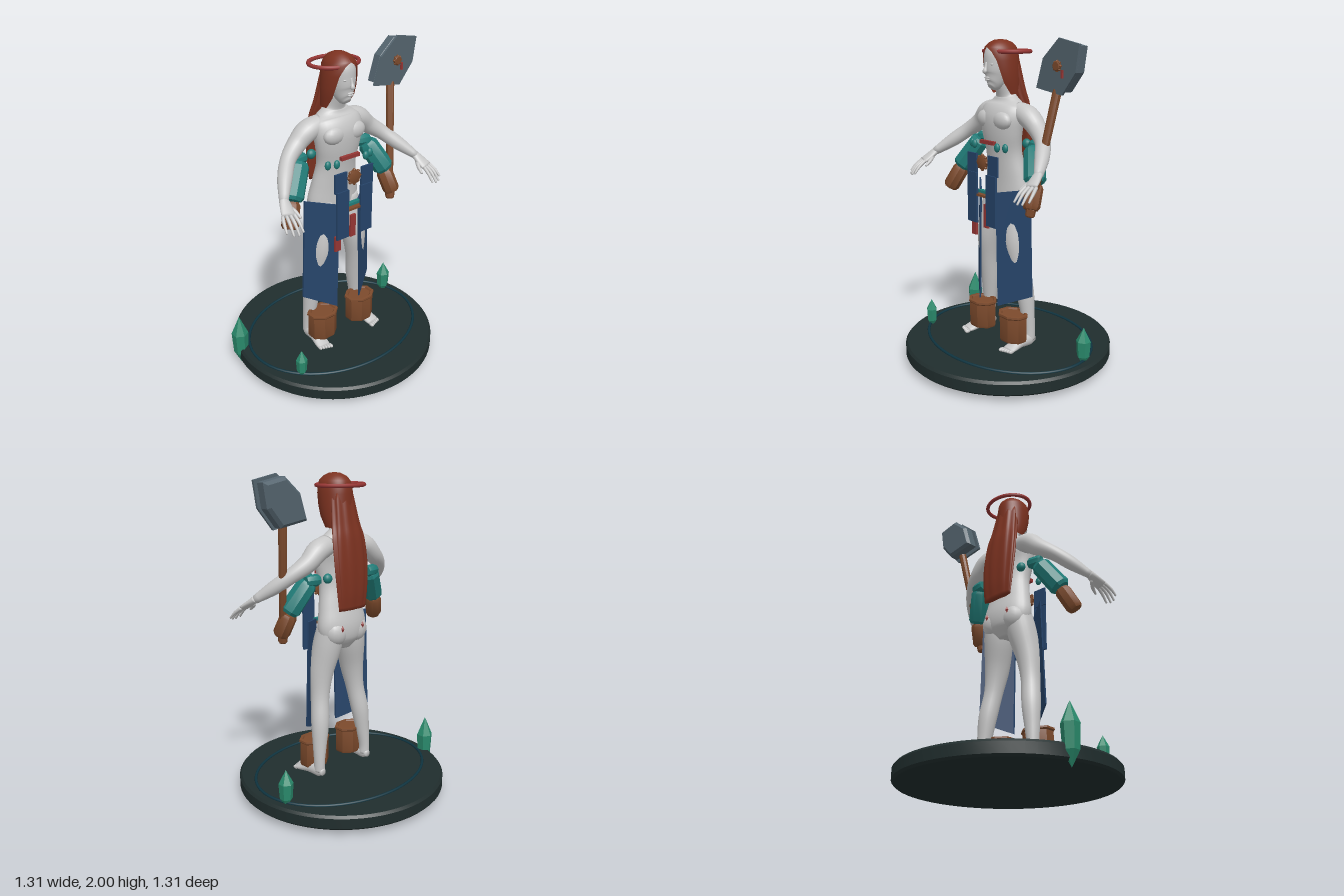
import * as THREE from 'three';
import { toCreasedNormals } from 'three/addons/utils/BufferGeometryUtils.js';

const V = (x, y, z) => new THREE.Vector3(x, y, z);
const mat = (name, color) => {
  const m = new THREE.MeshStandardMaterial({ color });
  m.name = name;
  return m;
};

// Smooth skin through elliptical sections [x, y, z, radiusAlongRef, radiusAcross]
function loft(pts, { ref = V(1, 0, 0), n = 24, steps = 5, ripple = 0 } = {}) {
  const spline = (f) => new THREE.CatmullRomCurve3(pts.map(f), false, 'catmullrom', 0.5);
  const path = spline((p) => V(p[0], p[1], p[2])), rad = spline((p) => V(p[3], p[4], 0));
  const rows = (pts.length - 1) * steps, pos = [], idx = [];
  for (let i = 0; i <= rows; i++) {
    const c = path.getPoint(i / rows), r = rad.getPoint(i / rows), t = path.getTangent(i / rows);
    const u = ref.clone().addScaledVector(t, -ref.dot(t)).normalize();
    const v = t.clone().cross(u);
    for (let j = 0; j < n; j++) {
      const a = (j / n) * Math.PI * 2, k = 1 + ripple * Math.cos(a * 9);
      const p = c.clone().addScaledVector(u, r.x * k * Math.cos(a)).addScaledVector(v, r.y * k * Math.sin(a));
      pos.push(p.x, p.y, p.z);
      if (i < rows) {
        const A = i * n + j, B = i * n + ((j + 1) % n);
        idx.push(A, B, B + n, A, B + n, A + n);
      }
    }
  }
  const s = pos.length / 3, last = rows * n;
  pos.push(...path.getPoint(0).toArray(), ...path.getPoint(1).toArray());
  for (let j = 0; j < n; j++) {
    const k = (j + 1) % n;
    idx.push(s, k, j, s + 1, last + j, last + k);
  }
  const g = new THREE.BufferGeometry();
  g.setAttribute('position', new THREE.Float32BufferAttribute(pos, 3));
  g.setIndex(idx);
  g.computeVertexNormals();
  return g;
}

const lathe = (profile, seg, angle = 0.5) =>
  toCreasedNormals(new THREE.LatheGeometry(profile.map((p) => new THREE.Vector2(...p)), seg), angle);

// Chamfered faceted drum running from point a to point b
function drum(a, b, r0, r1, seg = 8) {
  const L = a.distanceTo(b), c = Math.min(0.02, L * 0.15);
  const g = lathe([[0, 0], [r0 * 0.8, 0], [r0, c], [r1, L - c], [r1 * 0.8, L], [0, L]], seg);
  g.applyQuaternion(new THREE.Quaternion().setFromUnitVectors(V(0, 1, 0), b.clone().sub(a).normalize()));
  return g.translate(a.x, a.y, a.z);
}

const ball = (x, y, z, rx, ry, rz) => new THREE.SphereGeometry(1, 16, 12).scale(rx, ry, rz).translate(x, y, z);
const box = (x, y, z, w, h, d) => new THREE.BoxGeometry(w, h, d).translate(x, y, z);

function ellipseTube(rx, rz, y, cz, r) {
  const pts = Array.from({ length: 32 }, (_, i) => {
    const a = (i / 32) * Math.PI * 2;
    return V(rx * Math.cos(a), y, cz + rz * Math.sin(a));
  });
  return new THREE.TubeGeometry(new THREE.CatmullRomCurve3(pts, true), 64, r, 8, true);
}

// Thin slab whose corners are bottomLeft, bottomRight, topLeft, topRight
function slab(bl, br, tl, tr, thick) {
  const g = new THREE.BoxGeometry(1, 1, thick), p = g.attributes.position;
  for (let i = 0; i < p.count; i++) {
    const u = p.getX(i) + 0.5, v = p.getY(i) + 0.5;
    const q = bl.clone().lerp(br, u).lerp(tl.clone().lerp(tr, u), v);
    p.setXYZ(i, q.x, q.y, q.z + p.getZ(i));
  }
  return toCreasedNormals(g, 0.3);
}

export function createModel() {
  const root = new THREE.Group();
  const skin = mat('paleSkin', 0xc6c6c6), hair = mat('auburnHair', 0x7c3220), teal = mat('tealArmour', 0x217c78);
  const brown = mat('brownLeather', 0x7c4a2c), blue = mat('blueCloth', 0x26446a), stone = mat('darkStone', 0x202d2d);
  const red = mat('redTrim', 0x963634), steel = mat('greySteel', 0x54646e), gem = mat('greenCrystal', 0x2a8a6c);
  const inlay = mat('darkInlay', 0x0f3440);
  hair.side = THREE.DoubleSide;
  const add = (name, geo, material) => {
    const m = new THREE.Mesh(geo, material);
    m.name = name;
    root.add(m);
    return m;
  };

  // Base, inlaid ring and crystals
  add('base', lathe([[0, 0.035], [0.64, 0.035], [0.653, 0.048], [0.653, 0.11], [0.64, 0.125], [0, 0.125]], 64), stone);
  add('baseRing', ellipseTube(0.597, 0.465, 0.128, 0, 0.009), inlay);
  for (const [x, z, y0, y1, r] of [[-0.61, -0.19, 0, 0.35, 0.053], [-0.47, 0.275, 0.1, 0.295, 0.036], [0.565, -0.12, 0.09, 0.33, 0.045]]) {
    const h = y1 - y0;
    add('crystal', lathe([[0, y0], [r * 0.85, y0 + h * 0.25], [r, y0 + h * 0.65], [0, y1]], 6, 0.1).translate(x, 0, z), gem);
  }

  // Torso, neck and head
  add('torso', loft([[0, 0.94, 0, 0.06, 0.05], [0, 1.0, 0, 0.15, 0.09], [0, 1.08, -0.005, 0.18, 0.1], [0, 1.2, 0.01, 0.16, 0.09],
    [0, 1.33, 0.03, 0.137, 0.085], [0, 1.45, 0.045, 0.155, 0.093], [0, 1.54, 0.04, 0.17, 0.1], [0, 1.6, 0.015, 0.16, 0.08],
    [0, 1.645, 0.01, 0.1, 0.06], [0, 1.68, 0.015, 0.066, 0.055], [0, 1.76, 0.045, 0.055, 0.055]], { n: 32 }), skin);
  add('head', loft([[0, 1.713, 0.125, 0.022, 0.025], [0, 1.735, 0.107, 0.045, 0.053], [0, 1.78, 0.085, 0.065, 0.077],
    [0, 1.84, 0.075, 0.076, 0.088], [0, 1.9, 0.065, 0.077, 0.093], [0, 1.95, 0.055, 0.06, 0.07], [0, 1.972, 0.055, 0.025, 0.03]], { n: 32 }), skin);
  add('nose', loft([[0, 1.86, 0.158, 0.007, 0.008], [0, 1.83, 0.165, 0.009, 0.01], [0, 1.808, 0.171, 0.014, 0.014], [0, 1.8, 0.165, 0.008, 0.008]], { n: 12 }), skin);
  add('upperLip', ball(0, 1.772, 0.157, 0.023, 0.006, 0.01), skin);
  add('lowerLip', ball(0, 1.76, 0.155, 0.019, 0.007, 0.01), skin);

  // Hair cap rows: y, centre z, half width, half depth, face opening angle
  const rows = [[1.675, 0.02, 0.09, 0.085, 1.25], [1.74, 0.035, 0.1, 0.1, 0.95], [1.8, 0.045, 0.102, 0.107, 0.85], [1.87, 0.052, 0.1, 0.112, 0.72],
    [1.92, 0.055, 0.093, 0.11, 0.45], [1.945, 0.055, 0.083, 0.1, 0], [1.97, 0.055, 0.06, 0.075, 0], [1.985, 0.055, 0.032, 0.04, 0], [1.99, 0.055, 0.001, 0.001, 0]];
  const cap = new THREE.PlaneGeometry(1, 1, 48, rows.length - 1), cp = cap.attributes.position;
  for (let i = 0; i < cp.count; i++) {
    const [y, cz, rx, rz, open] = rows[rows.length - 1 - Math.floor(i / 49)];
    const a = open + ((i % 49) / 48) * (Math.PI * 2 - 2 * open);
    cp.setXYZ(i, rx * Math.sin(a), y, cz + rz * Math.cos(a));
  }
  cap.computeVertexNormals();
  add('hairCap', cap, hair);
  add('longHair', loft([[0, 1.87, 0, 0.08, 0.05], [0, 1.7, -0.035, 0.103, 0.048], [0, 1.6, -0.062, 0.122, 0.043], [0, 1.45, -0.085, 0.128, 0.036],
    [0, 1.3, -0.095, 0.118, 0.029], [0, 1.19, -0.096, 0.105, 0.018]], { n: 54, ripple: 0.05 }), hair);
  add('haloRing', ellipseTube(0.153, 0.126, 1.92, 0.007, 0.012), red);

  for (const s of [1, -1]) {
    const P = (x, y, z) => V(s * x, y, z);
    const limb = (name, pts, opt) => add(name, loft(pts.map(([x, ...r]) => [s * x, ...r]), opt), skin);

    // Face and chest forms
    add('eyelid', ball(s * 0.031, 1.848, 0.145, 0.015, 0.008, 0.01), skin);
    add('chestMuscle', ball(s * 0.075, 1.525, 0.105, 0.075, 0.055, 0.042), skin);
    add('buttock', ball(s * 0.08, 1.05, -0.035, 0.082, 0.085, 0.068), skin);

    // Arm, hand and fingers
    limb('arm', [[0.1, 1.575, 0.01, 0.06, 0.06], [0.19, 1.55, 0.0, 0.068, 0.064], [0.27, 1.485, 0.0, 0.056, 0.055], [0.355, 1.425, 0.035, 0.046, 0.045],
      [0.43, 1.355, 0.105, 0.043, 0.042], [0.505, 1.28, 0.195, 0.027, 0.024]], { ref: V(0, 0, 1) });
    limb('palm', [[0.503, 1.285, 0.19, 0.027, 0.022], [0.515, 1.255, 0.23, 0.037, 0.018], [0.53, 1.225, 0.272, 0.042, 0.014]], { ref: V(1, 0, 0), n: 16 });
    for (let k = 0; k < 4; k++) {
      const o = k - 1.5, x = 0.53 + o * 0.021, z = 0.268 - o * 0.006, len = [0.9, 1, 0.97, 0.8][k];
      limb('finger', [[x, 1.228, z, 0.0105, 0.0105], [x + 0.008 + o * 0.006, 1.195, z + 0.05 * len, 0.0095, 0.0095],
        [x + 0.012 + o * 0.009, 1.227 - 0.085 * len, z + 0.092 * len, 0.006, 0.006]], { n: 10 });
    }
    limb('thumb', [[0.5, 1.255, 0.215, 0.015, 0.014], [0.475, 1.228, 0.255, 0.012, 0.012], [0.465, 1.2, 0.295, 0.007, 0.007]], { n: 10 });

    // Leg, foot and toes
    limb('leg', [[0.085, 1.08, 0, 0.085, 0.085], [0.1, 0.96, 0.02, 0.09, 0.09], [0.13, 0.8, 0.042, 0.075, 0.08], [0.152, 0.64, 0.033, 0.057, 0.06],
      [0.175, 0.48, 0.008, 0.056, 0.056], [0.19, 0.34, -0.003, 0.044, 0.044], [0.2, 0.23, -0.01, 0.033, 0.036], [0.2, 0.165, -0.01, 0.033, 0.036]]);
    limb('foot', [[0.2, 0.16, -0.047, 0.018, 0.02], [0.2, 0.168, -0.01, 0.033, 0.04], [0.203, 0.167, 0.07, 0.037, 0.036], [0.208, 0.15, 0.14, 0.045, 0.022],
      [0.21, 0.144, 0.175, 0.042, 0.014]], { n: 16 });
    for (let k = 0; k < 5; k++)
      add('toe', ball(s * (0.176 + k * 0.017), 0.143, 0.192 - k * 0.006, k ? 0.009 : 0.012, 0.012, 0.02), skin);

    // Boot cuff
    add('bootCuff', lathe([[0, 0.175], [0.093, 0.175], [0.1, 0.19], [0.1, 0.33], [0.108, 0.338], [0.106, 0.35], [0.085, 0.352], [0.08, 0.343], [0, 0.343]], 8)
      .rotateY(Math.PI / 8).scale(1, 1, 0.8).translate(s * 0.155, 0, 0.085), brown);

    // Hanging sleeve armour
    const lean = s < 0 ? 0.035 : 0;
    add('shoulderPad', drum(P(0.2, 1.385, -0.02), P(0.29, 1.385, -0.005), 0.036, 0.036), teal);
    add('upperSleeve', drum(P(0.255, 1.375, 0.01), P(0.35 + lean * 0.5, 1.195, 0.085), 0.062, 0.066), teal);
    add('lowerSleeve', drum(P(0.345 + lean * 0.7, 1.185, 0.08), P(0.372 + lean * 1.6, 1.05, 0.135), 0.052, 0.052), brown);

    // Cloth panels
    const [ti, to, bi, bo] = [P(0.075, 1.1, 0.15), P(0.243, 1.13, 0.03), P(0.092, 0.39, 0.15), P(0.267, 0.47, 0.03)];
    add('thighPanel', s > 0 ? slab(bi, bo, ti, to, 0.012) : slab(bo, bi, to, ti, 0.012), blue);
    add('upperCentrePanel', box(s * 0.1, 1.265, 0.193, 0.09, 0.12, 0.012), blue);
    add('lowerCentrePanel', box(s * 0.091, 1.055, 0.2, 0.09, 0.31, 0.014), blue);

    // Beads and rear studs
    for (const [x, z] of [[0.11, 0.17], [0.16, 0.15]]) add('bead', ball(s * x, 1.375, z, 0.02, 0.027, 0.016), teal);
    add('rearBead', ball(s * 0.14, 1.385, -0.03, 0.03, 0.03, 0.025), teal);
    add('rearStud', new THREE.OctahedronGeometry(1).scale(0.012, 0.022, 0.014).translate(s * 0.085, 1.08, -0.1), red);
  }

  // Belt pieces and hanging tags
  add('beltBar', box(0, 1.393, 0.155, 0.135, 0.022, 0.022), red);
  add('tealHipBand', box(0, 1.092, 0.165, 0.14, 0.016, 0.03), teal);
  add('brownHipBand', box(0, 1.074, 0.175, 0.14, 0.014, 0.06), brown);
  add('centreTag', box(0.01, 0.947, 0.175, 0.04, 0.145, 0.014), red);
  add('sideTag', box(-0.108, 0.86, 0.175, 0.042, 0.1, 0.014), red);

  // Toothed medallions
  const medallion = (name, x, y, z, r) => {
    add(name, drum(V(x, y, z - 0.012), V(x, y, z + 0.012), r, r, 16), brown);
    for (let k = 0; k < 8; k++) {
      const a = (k / 8) * Math.PI * 2;
      add(name + 'Tooth', ball(x + Math.cos(a) * r, y + Math.sin(a) * r, z, r * 0.22, r * 0.22, 0.01), brown);
    }
  };
  medallion('beltMedallion', 0, 1.278, 0.195, 0.043);
  medallion('bladeMedallion', 0.468, 1.852, 0.038, 0.027);

  // Broad-bladed staff
  const outline = [[0.292, 1.725], [0.345, 1.89], [0.47, 2.0], [0.628, 1.97], [0.603, 1.82], [0.5, 1.695]];
  const bladeShape = (k) => new THREE.Shape(outline.map(([x, y]) => new THREE.Vector2(0.47 + (x - 0.47) * k, 1.85 + (y - 1.85) * k)));
  add('bladePlate', new THREE.ExtrudeGeometry(bladeShape(1), { depth: 0.014, bevelEnabled: false }).translate(0, 0, 0.018), steel);
  add('bladeBody', new THREE.ExtrudeGeometry(bladeShape(0.78), { depth: 0.05, bevelSize: 0.018, bevelThickness: 0.018, bevelSegments: 1 })
    .translate(0, 0, -0.045), steel);
  add('bladeTag', box(0.507, 1.81, 0.036, 0.014, 0.045, 0.012).rotateZ(0), red);
  add('staffShaft', drum(V(0.362, 1.04, 0.125), V(0.445, 1.74, 0.005), 0.021, 0.026, 10), brown);
  add('staffPommel', drum(V(0.359, 1.005, 0.131), V(0.364, 1.06, 0.122), 0.028, 0.03, 8), brown);

  return root;
}
